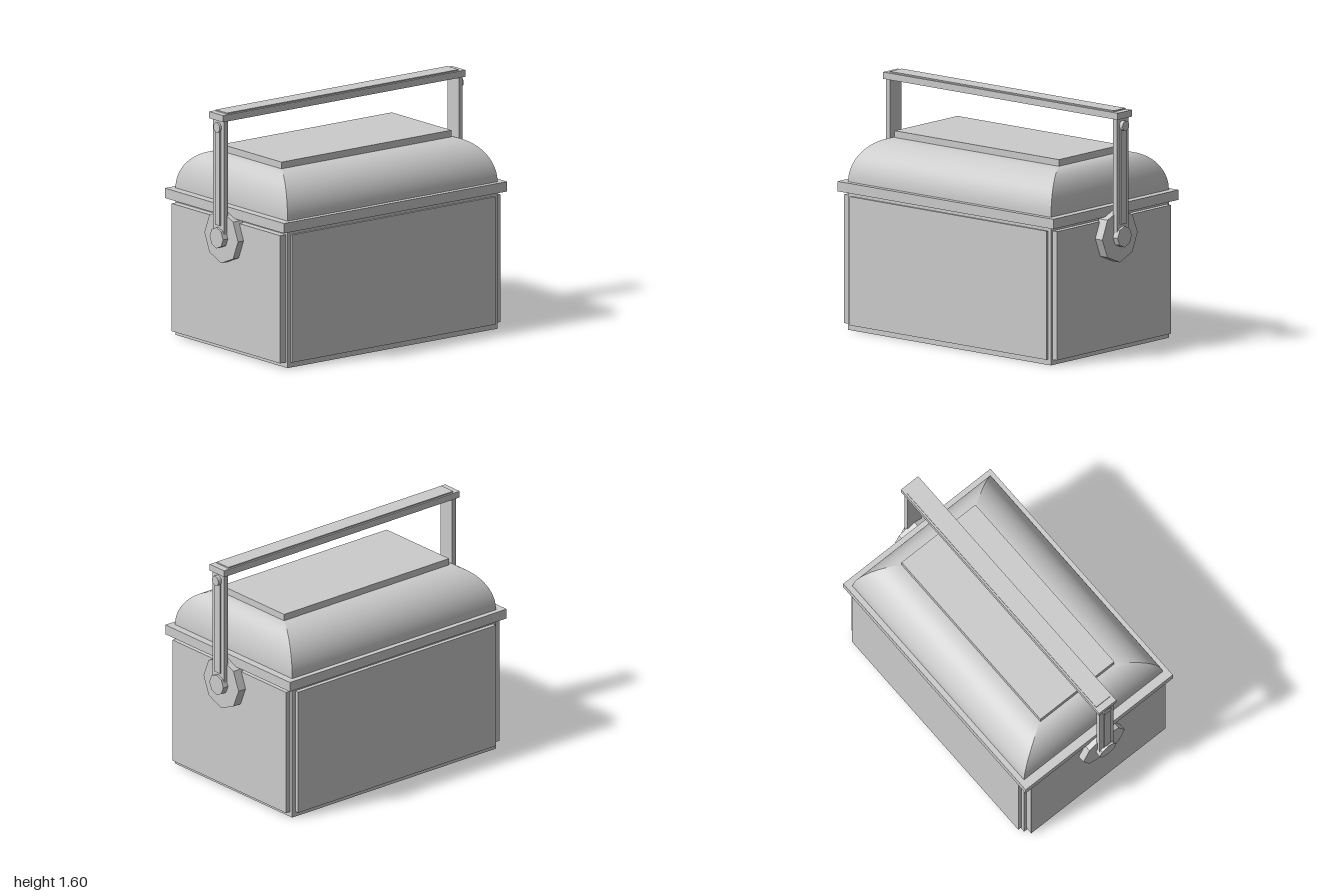
import * as THREE from 'three';

const CX = -0.006; // centre line of the box
const material = new THREE.MeshStandardMaterial({ color: 0xcccccc, side: THREE.DoubleSide });

function add(parent, name, geometry) {
  const mesh = new THREE.Mesh(geometry, material);
  mesh.name = name;
  parent.add(mesh);
  return mesh;
}

// Box given by its limits on each axis
function box(parent, name, [x0, x1], [y0, y1], [z0, z1]) {
  const mesh = add(parent, name, new THREE.BoxGeometry(x1 - x0, y1 - y0, z1 - z0));
  mesh.position.set((x0 + x1) / 2, (y0 + y1) / 2, (z0 + z1) / 2);
  return mesh;
}

// Disc lying along x between two limits
function disc(parent, name, radius, sides, [x0, x1], y, z) {
  const geometry = new THREE.CylinderGeometry(radius, radius, x1 - x0, sides).toNonIndexed();
  geometry.rotateZ(-Math.PI / 2);
  geometry.computeVertexNormals();
  add(parent, name, geometry).position.set((x0 + x1) / 2, y, z);
}

// Domed lid: four curved sides that meet at mitred corners
function domeGeometry(steps = 20) {
  const corners = [[1, 1], [1, -1], [-1, -1], [-1, 1]];
  const positions = [], index = [];
  corners.forEach((from, side) => {
    const to = corners[(side + 1) % 4];
    const start = positions.length / 3;
    for (let i = 0; i <= steps; i++) {
      const a = (i / steps) * Math.PI / 2;
      const hx = 0.695 + 0.165 * Math.cos(a);
      const hz = 0.306 + 0.272 * Math.cos(a);
      const y = 0.97 + 0.27 * Math.sin(a);
      positions.push(from[0] * hx, y, from[1] * hz, to[0] * hx, y, to[1] * hz);
      if (i < steps) {
        const p = start + i * 2;
        index.push(p, p + 1, p + 3, p, p + 3, p + 2);
      }
    }
  });
  const geometry = new THREE.BufferGeometry();
  geometry.setAttribute('position', new THREE.Float32BufferAttribute(positions, 3));
  geometry.setIndex(index);
  geometry.computeVertexNormals();
  return geometry;
}

// One end of the handle, built facing +x
function handleSide(name, boltEnd) {
  const side = new THREE.Group();
  side.name = name;
  const z = 0.012;
  disc(side, 'pivotPlate', 0.173, 8, [0.88, 0.954], 0.772, z);
  disc(side, 'pivotBoss', 0.069, 8, [0.94, 0.994], 0.772, z);
  box(side, 'upright', [0.945, 0.977], [0.77, 1.55], [-0.046, 0.069]);
  box(side, 'uprightRib', [0.97, 0.986], [0.855, 1.5], [-0.013, 0.038]);
  disc(side, 'bolt', 0.033, 12, [0.97, boltEnd], 1.5, z);
  return side;
}

export function createModel() {
  const model = new THREE.Group();
  model.name = 'lunchBox';

  // Hollow body, open underneath
  const shell = new THREE.BoxGeometry(1.72, 0.92, 1.156);
  const faces = Array.from(shell.index.array);
  faces.splice(12, 12);
  shell.setIndex(faces);
  shell.clearGroups();
  add(model, 'body', shell).position.set(CX, 0.46, 0);

  // Raised wall panels
  const panelY = [0.035, 0.878];
  box(model, 'frontPanel', [-0.842, 0.828], panelY, [0.57, 0.592]);
  box(model, 'backPanel', [-0.842, 0.828], panelY, [-0.606, -0.57]);
  box(model, 'leftPanel', [0.84, 0.89], panelY, [-0.558, 0.561]);
  box(model, 'rightPanel', [-0.914, -0.85], panelY, [-0.558, 0.561]);

  // Lid
  box(model, 'rim', [-0.925, 0.905], [0.905, 0.97], [-0.614, 0.614]);
  add(model, 'domedLid', domeGeometry()).position.x = CX;
  box(model, 'lidPlate', [-0.703, 0.69], [1.235, 1.284], [-0.306, 0.31]);

  // Handle
  const left = handleSide('leftHandleSide', 1.004);
  left.position.x = -0.004;
  const right = handleSide('rightHandleSide', 0.992);
  right.rotation.y = Math.PI;
  right.position.set(-0.006, 0, 0.024);
  model.add(left, right);
  box(model, 'handleBar', [-1, 0.988], [1.548, 1.592], [-0.063, 0.08]);
  box(model, 'handleGrip', [-0.956, 0.943], [1.58, 1.6], [-0.051, 0.066]);

  return model;
}
